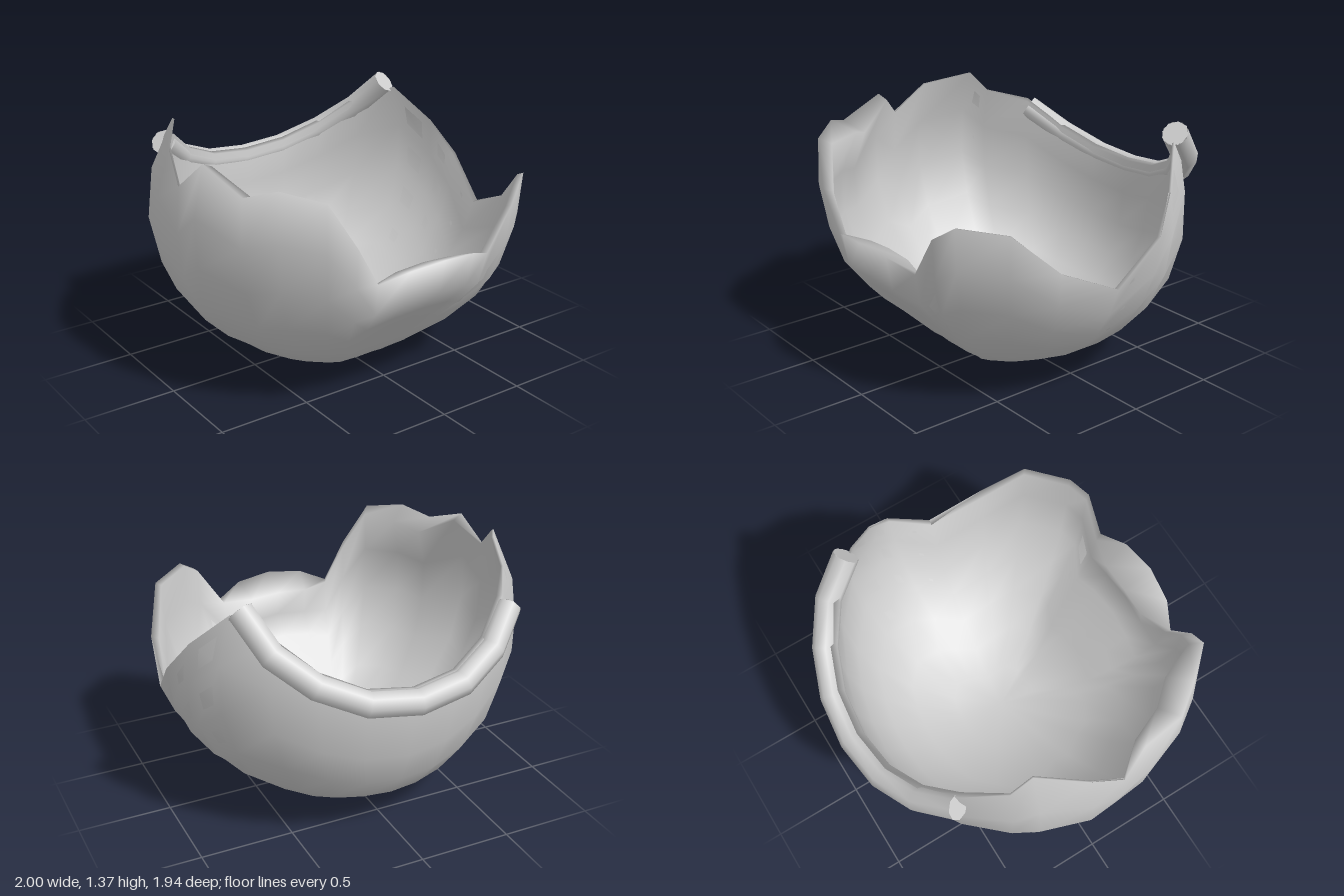
import * as THREE from 'three';

const grey = new THREE.MeshStandardMaterial({ color: 0xcccccc, side: THREE.DoubleSide });

const CENTRE_Y = 0.95;
const WIDTH = 1.02;
const ROWS = 7;

// Centre line of the rolled back rim
const ROLL = [
  [0.73, 1.3, -0.475], [0.65, 1.13, -0.645], [0.475, 0.985, -0.785], [0.255, 0.89, -0.875],
  [0, 0.86, -0.905],
  [-0.255, 0.89, -0.875], [-0.475, 0.985, -0.785], [-0.65, 1.13, -0.65],
];

// Broken edge of the shell, from the front middle round by +x: x, y, z, lip width
const EDGE = [
  [0, 0.835, 0.97, 0.16], [0.2, 0.815, 0.945, 0.14], [0.35, 0.755, 0.88, 0.03],
  [0.5, 0.98, 0.88, 0.02], [0.6, 1.05, 0.82, 0.02], [0.8, 1.03, 0.65, 0.02],
  [0.91, 0.82, 0.43, 0.03], [0.97, 0.68, 0.12, 0.02],
  [1, 0.9, -0.12, 0.01], [0.92, 1.08, -0.26, 0], [0.77, 1.27, -0.43, 0],
  ...ROLL.slice(1).map(([x, y, z]) => [x * 0.965, y + 0.06, z * 0.965, 0.02]),
  [-0.76, 1.25, -0.42, 0], [-0.77, 1.37, -0.3, 0], [-0.92, 1.31, -0.07, 0],
  [-0.97, 1.16, 0.11, 0], [-0.91, 1.3, 0.25, 0.05], [-0.86, 1.2, 0.52, 0.12],
  [-0.75, 1.25, 0.66, 0.13], [-0.6, 1.21, 0.83, 0.06], [-0.47, 0.98, 0.89, 0.04],
  [-0.34, 0.76, 0.88, 0.02], [-0.2, 0.815, 0.945, 0.14],
];

// The back is full near the bottom and flattened near the rim; c is the height cosine
const backScale = (c) => 0.87 + 0.3 * c * c;

// Point on the rounded body; theta runs up from the bottom pole
function bodyPoint(theta, phi) {
  const c = Math.cos(theta);
  const x = WIDTH * Math.sin(theta) * Math.sin(phi);
  const p = new THREE.Vector3(
    THREE.MathUtils.clamp(x, -1, 1), // flattened sides
    CENTRE_Y * (1 - c),
    Math.sin(theta) * Math.cos(phi),
  );
  if (p.z < 0) p.z *= backScale(c);
  // flat sloping facet under the front
  const over = (p.z - p.y - 0.295) / 2;
  if (over > 0) { p.z -= over; p.y += over; }
  return p;
}

// Shell: meridians run up the outside to the broken edge, over the lip and down the inside
function shellGeometry() {
  const n = EDGE.length;
  const meridians = EDGE.map(([x, y, z, lip]) => {
    const c = (CENTRE_Y - y) / CENTRE_Y;
    const roundX = x / WIDTH;
    const roundZ = z < 0 ? z / backScale(c) : z;
    const theta = Math.atan2(Math.hypot(roundX, roundZ), c);
    const phi = Math.atan2(roundX, roundZ);
    return { theta, phi, lip, offset: new THREE.Vector3(x, y, z).sub(bodyPoint(theta, phi)) };
  });
  const pos = [];
  for (let i = 0; i < 2 * ROWS; i++) {
    const inside = i >= ROWS;
    const t = (inside ? 2 * ROWS - i : i + 1) / ROWS;
    for (const m of meridians) {
      const p = bodyPoint(m.theta * t, m.phi).addScaledVector(m.offset, t ** 4);
      if (inside) {
        // thin wall, plus a lip that slopes down and inwards near the edge
        const wall = new THREE.Vector3(-p.x, CENTRE_Y - p.y, -p.z).normalize();
        const slope = new THREE.Vector3(-p.x, 0, -p.z).normalize().setY(-0.45);
        p.addScaledVector(wall, 0.012).addScaledVector(slope, m.lip * t ** 4);
      }
      pos.push(p.x, p.y, p.z);
    }
  }
  // outer and inner bottom poles
  const outerPole = pos.length / 3;
  pos.push(0, 0, 0, 0, 0.012, 0);

  const index = [];
  const last = 2 * ROWS - 1;
  const at = (row, j) => row * n + (j % n);
  for (let j = 0; j < n; j++) {
    index.push(outerPole, at(0, j + 1), at(0, j));
    index.push(outerPole + 1, at(last, j), at(last, j + 1));
    for (let r = 0; r < last; r++) {
      index.push(at(r, j), at(r, j + 1), at(r + 1, j + 1));
      index.push(at(r, j), at(r + 1, j + 1), at(r + 1, j));
    }
  }
  const g = new THREE.BufferGeometry();
  g.setAttribute('position', new THREE.Float32BufferAttribute(pos, 3));
  g.setIndex(index);
  g.computeVertexNormals();
  return g;
}

export function createModel() {
  const model = new THREE.Group();
  model.name = 'brokenShell';

  const shell = new THREE.Mesh(shellGeometry(), grey);
  shell.name = 'shell';
  model.add(shell);

  // Rolled rim along the back, closed at both ends
  const rim = new THREE.Group();
  rim.name = 'rolledRim';
  const curve = new THREE.CatmullRomCurve3(ROLL.map((p) => new THREE.Vector3(...p)));
  const roll = new THREE.Mesh(new THREE.TubeGeometry(curve, 7, 0.069, 8), grey);
  roll.name = 'rimRoll';
  rim.add(roll);
  for (const end of [0, 1]) {
    const cap = new THREE.Mesh(new THREE.CircleGeometry(0.069, 8), grey);
    cap.name = 'rimEnd';
    const point = curve.getPointAt(end);
    cap.position.copy(point);
    cap.lookAt(point.clone().addScaledVector(curve.getTangentAt(end), end ? 1 : -1));
    rim.add(cap);
  }
  model.add(rim);

  return model;
}
